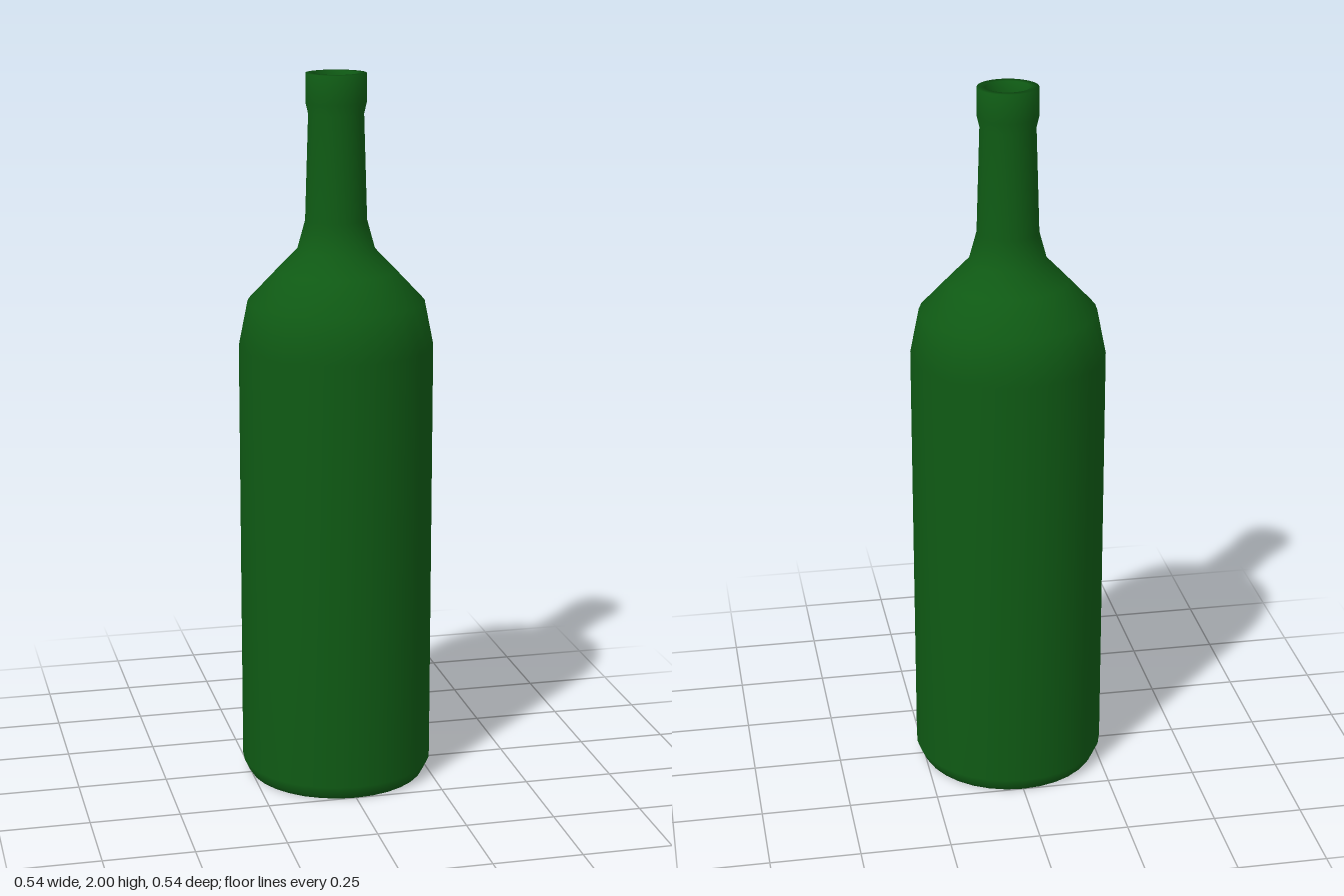
import * as THREE from 'three';

export function createModel() {
  const group = new THREE.Group();
  group.name = 'bottle';
  const glass = new THREE.MeshStandardMaterial({ color: 0x0f5a14 });

  // One closed profile [radius, height]: punt, base, body, shoulder, neck, lip, mouth
  const profile = [
    [0, 0.08], [0.1, 0.065], [0.18, 0.03], [0.225, 0.004], // hollow under the base
    [0.25, 0.004], [0.256, 0.01], [0.27, 0.04],            // foot
    [0.27, 1.25], [0.245, 1.375], [0.165, 1.46],           // body and shoulder
    [0.107, 1.52], [0.085, 1.6], [0.076, 1.89],            // neck
    [0.083, 1.92], [0.083, 2], [0.06, 2],                  // lip
    [0.059, 1.95], [0.059, 1.72], [0, 1.7],                // inside of the mouth
  ];
  // Bring the foot down to the ground
  const points = profile.map(([r, y]) => new THREE.Vector2(r, y === 0.004 ? 0 : y));

  const bottle = new THREE.Mesh(new THREE.LatheGeometry(points, 32), glass);
  bottle.name = 'bottleBody';
  group.add(bottle);
  return group;
}
